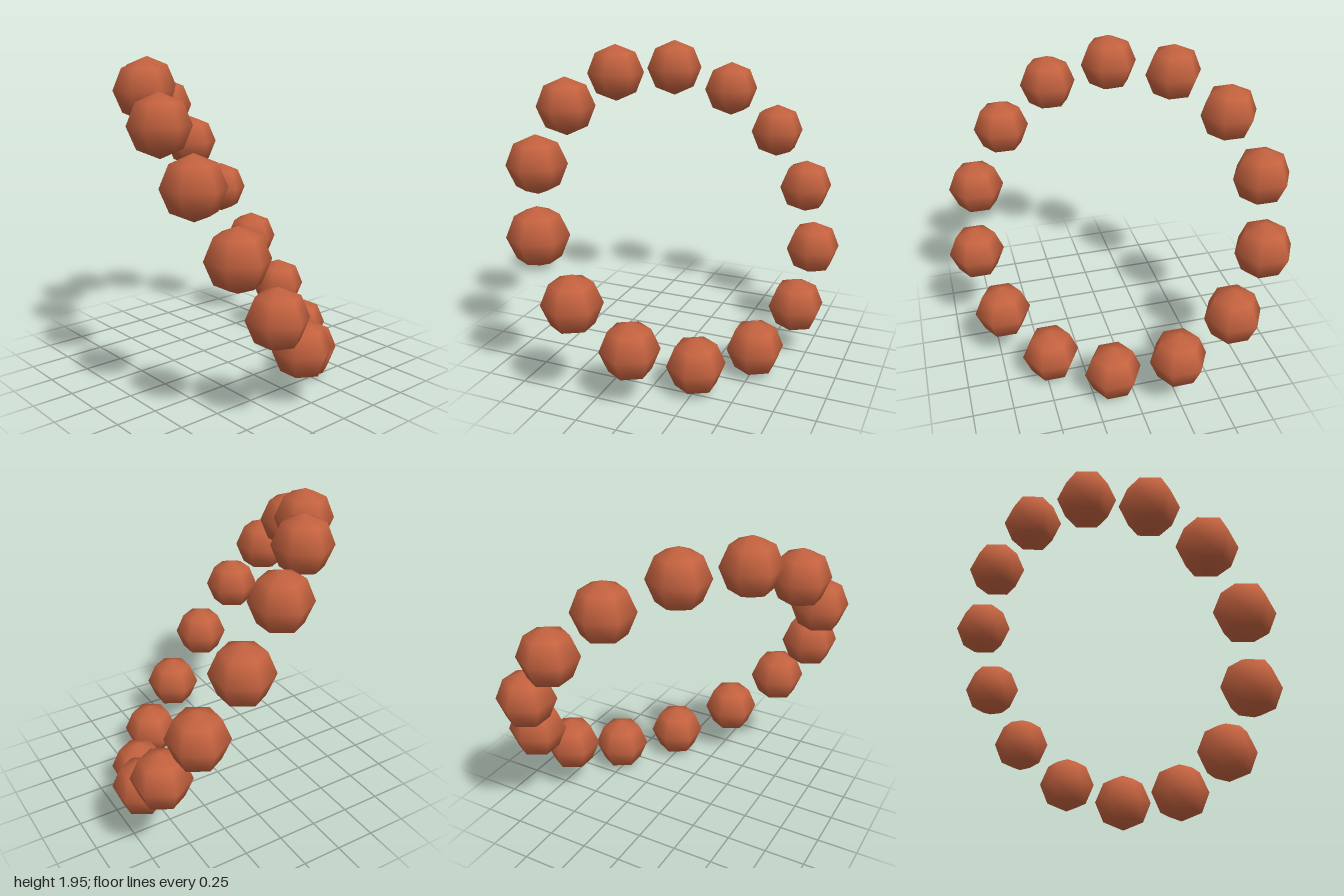
import * as THREE from 'three';

export function createModel() {
  const group = new THREE.Group();
  group.name = 'beadRing';

  const terracotta = new THREE.MeshStandardMaterial({ color: 0xc4623f });
  terracotta.name = 'terracotta';

  const count = 14;
  const ringRadius = 0.957;
  const beadRadius = 0.178;
  const centreY = 0.973;

  // Two perpendicular axes spanning the tilted plane of the ring
  const level = new THREE.Vector3(0.797, 0, 0.604).normalize();
  const rise = new THREE.Vector3(-0.316, 0.852, 0.418).normalize();

  // Low-poly beads share one geometry and all stay upright
  const beadGeometry = new THREE.SphereGeometry(beadRadius, 6, 4);
  for (let i = 0; i < count; i++) {
    const angle = (i / count) * Math.PI * 2;
    const bead = new THREE.Mesh(beadGeometry, terracotta);
    bead.name = `bead${i + 1}`;
    bead.position
      .set(0, centreY, 0)
      .addScaledVector(level, ringRadius * Math.cos(angle))
      .addScaledVector(rise, ringRadius * Math.sin(angle));
    group.add(bead);
  }
  return group;
}
